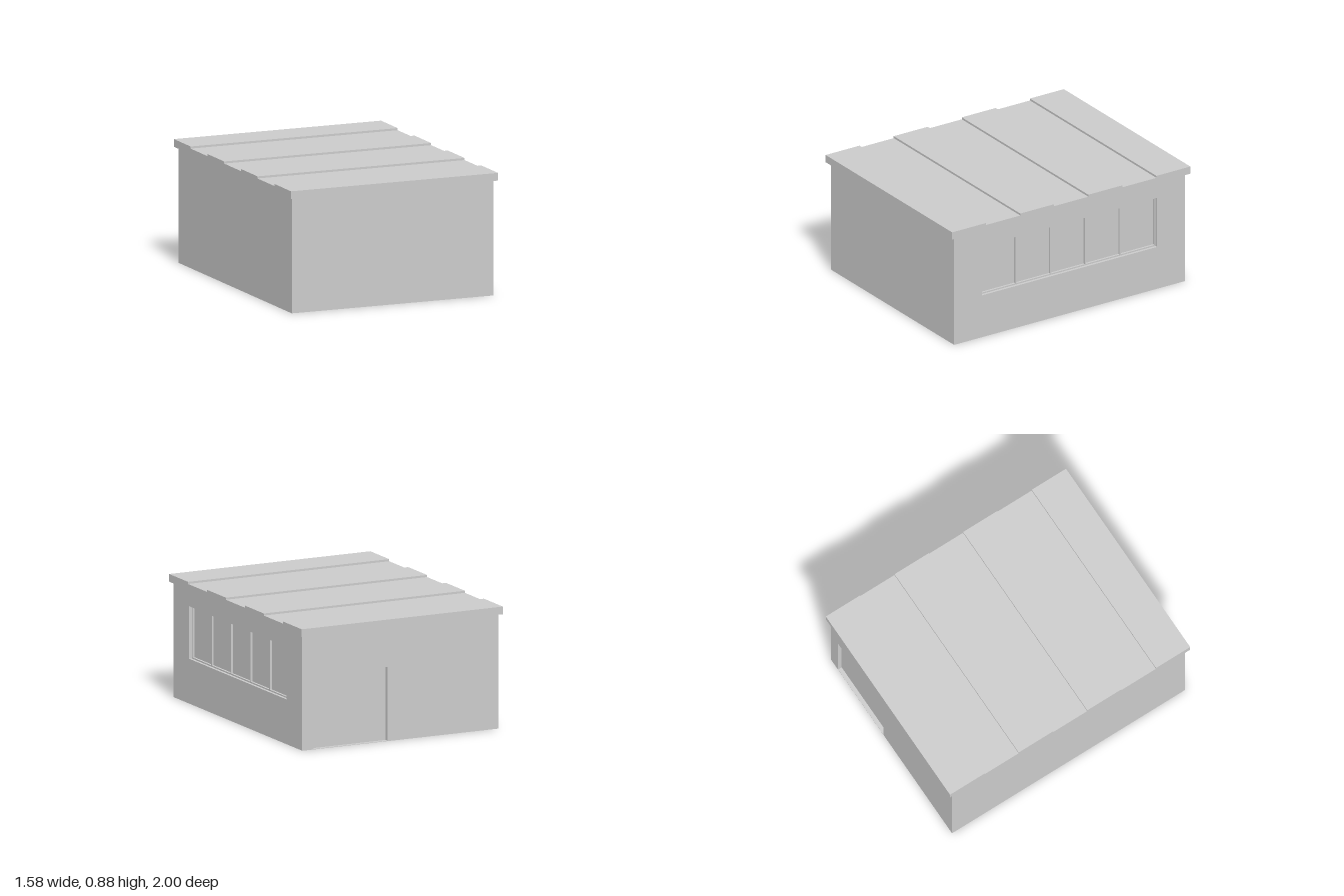
import * as THREE from 'three';

export function createModel() {
  const model = new THREE.Group();
  model.name = 'building';
  const material = new THREE.MeshStandardMaterial({ color: 0xcccccc, flatShading: true });
  const halfX = 0.77, halfZ = 0.97, wallTop = 0.82, thickness = 0.05;

  function add(parent, name, geometry, x = 0, y = 0, z = 0) {
    const mesh = new THREE.Mesh(geometry, material);
    mesh.name = name;
    mesh.position.set(x, y, z);
    parent.add(mesh);
    return mesh;
  }
  const box = (parent, name, w, h, d, x, y, z) =>
    add(parent, name, new THREE.BoxGeometry(w, h, d), x, y, z);

  function rect(PathType, x0, y0, x1, y1) {
    return new PathType([[x0, y0], [x1, y0], [x1, y1], [x0, y1]].map(p => new THREE.Vector2(...p)));
  }

  // Wall group: outer face on local z = 0, facing local +z
  function wall(name, width, x, z, turn, opening) {
    const group = new THREE.Group();
    group.name = name;
    group.position.set(x, 0, z);
    group.rotation.y = turn;
    const shape = rect(THREE.Shape, -width / 2, 0, width / 2, wallTop);
    if (opening) shape.holes.push(rect(THREE.Path, ...opening));
    const geometry = new THREE.ExtrudeGeometry(shape, { depth: thickness, bevelEnabled: false });
    add(group, name + 'Panel', geometry, 0, 0, -thickness);
    model.add(group);
    return group;
  }

  // Doorway near the left end of the back wall, window band in the left wall
  const door = [-0.68, 0.003, -0.1, 0.53];
  const win = [-0.735, 0.32, 0.735, 0.695];
  const sideWidth = 2 * (halfZ - thickness);
  wall('frontWall', 2 * halfX, 0, halfZ, 0);
  const back = wall('backWall', 2 * halfX, 0, -halfZ, Math.PI, door);
  wall('rightWall', sideWidth, -halfX, 0, -Math.PI / 2);
  const left = wall('leftWall', sideWidth, halfX, 0, Math.PI / 2, win);

  // Recessed door leaf
  box(back, 'door', door[2] - door[0], door[3] - door[1], 0.02,
    (door[0] + door[2]) / 2, (door[1] + door[3]) / 2, -0.04);

  // Window: outer frame, mullions and five panes
  const bar = 0.01, barDepth = 0.02, barZ = -0.03;
  const winW = win[2] - win[0], winH = win[3] - win[1], winY = (win[1] + win[3]) / 2;
  const frameShape = rect(THREE.Shape, ...win);
  frameShape.holes.push(rect(THREE.Path, win[0] + bar, win[1] + bar, win[2] - bar, win[3] - bar));
  add(left, 'windowFrame',
    new THREE.ExtrudeGeometry(frameShape, { depth: barDepth, bevelEnabled: false }),
    0, 0, barZ - barDepth / 2);
  const pitch = (winW - bar) / 5;
  for (let i = 0; i < 5; i++) {
    const x = (i - 2) * pitch;
    box(left, 'windowPane', pitch - bar, winH - 2 * bar, 0.01, x, winY, -0.04);
    if (i < 4) box(left, 'mullion', bar, winH - 2 * bar, barDepth, x + pitch / 2, winY, barZ);
  }

  // Floor slab inside the walls
  box(model, 'floor', 2 * (halfX - thickness), 0.03, sideWidth, 0, 0.015, 0);

  // Overhanging roof: alternating raised and sunken strips, extruded across the width
  const high = 0.875, low = 0.86, roofHalf = 0.79;
  const profile = new THREE.Shape();
  profile.moveTo(-1, wallTop).lineTo(1, wallTop).lineTo(1, high);
  for (const [a, b] of [[0.715, 0.428], [0.143, -0.143], [-0.428, -0.715]]) {
    profile.lineTo(a, high).lineTo(a, low).lineTo(b, low).lineTo(b, high);
  }
  profile.lineTo(-1, high).closePath();
  const roof = new THREE.ExtrudeGeometry(profile, { depth: 2 * roofHalf, bevelEnabled: false });
  roof.translate(0, 0, -roofHalf).rotateY(Math.PI / 2);
  add(model, 'roof', roof);

  return model;
}
